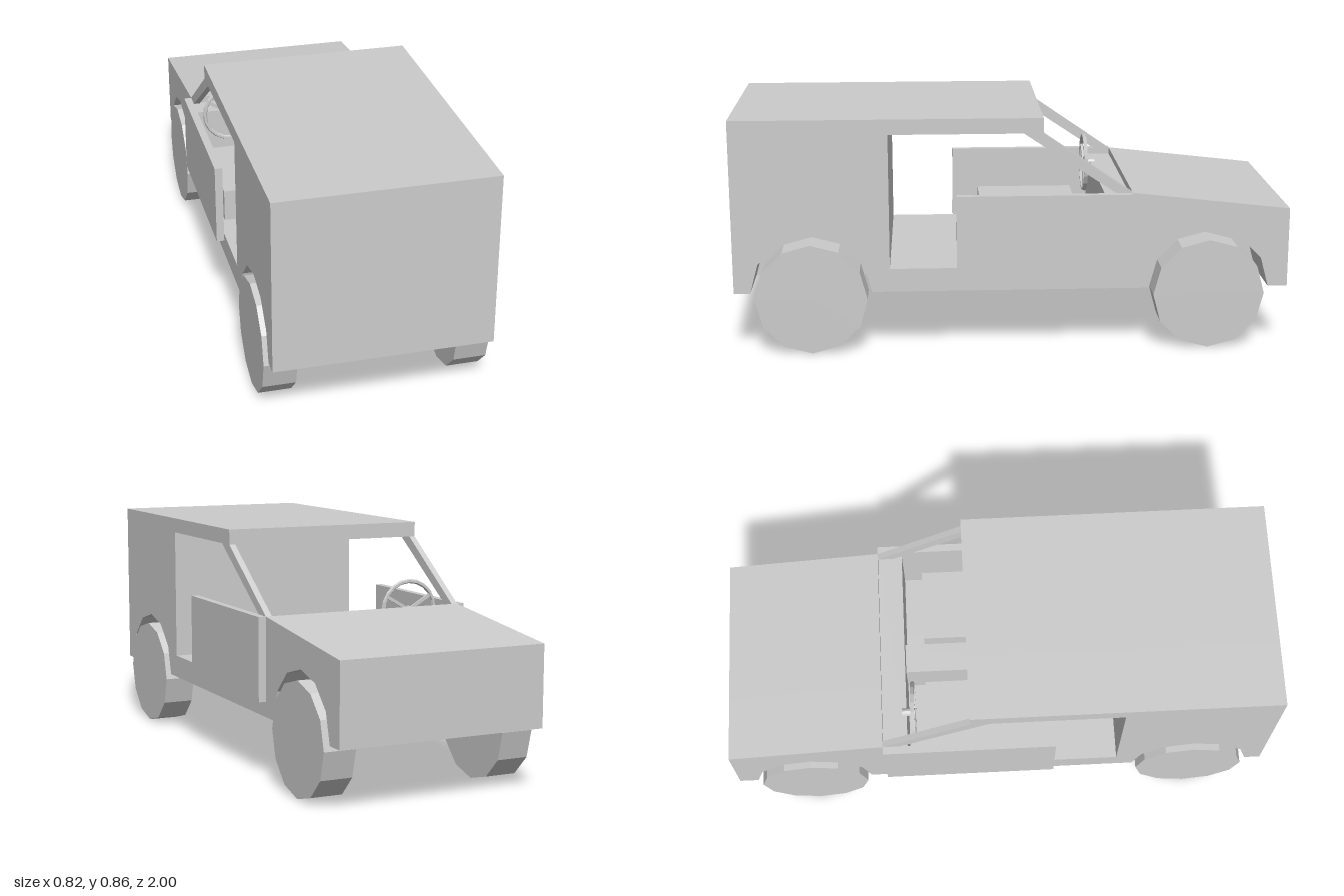
import * as THREE from 'three';

const material = new THREE.MeshStandardMaterial({ color: 0xcccccc, flatShading: true });
const HALF = 0.383;       // half width of the body
const ARCH_INNER = 0.15;  // inner wall of the wheel wells
const REAR_Z = 0.723, NOSE_Z = -0.712;
const BOTTOM = 0.225, FLOOR = 0.31, BELT = 0.58;

export function createModel() {
  const model = new THREE.Group();
  model.name = 'utilityVehicle';

  const add = (geometry, name, parent = model) => {
    const mesh = new THREE.Mesh(geometry, material);
    mesh.name = name;
    parent.add(mesh);
    return mesh;
  };
  const box = (name, x0, x1, y0, y1, z0, z1) => {
    const mesh = add(new THREE.BoxGeometry(x1 - x0, y1 - y0, z1 - z0), name);
    mesh.position.set((x0 + x1) / 2, (y0 + y1) / 2, (z0 + z1) / 2);
    return mesh;
  };
  // Side profile given as [z, y] points, extruded from x0 to x1
  const slab = (name, points, x0, x1) => {
    const shape = new THREE.Shape(points.map(([z, y]) => new THREE.Vector2(z, y)));
    const geometry = new THREE.ExtrudeGeometry(shape, { depth: x1 - x0, bevelEnabled: false });
    geometry.rotateY(-Math.PI / 2).translate(x1, 0, 0);
    return add(geometry, name);
  };
  // Half of a twelve-sided arch, running from -z to +z
  const arch = (z) => Array.from({ length: 7 }, (_, i) => {
    const a = Math.PI - (i * Math.PI) / 6;
    return [z + 0.218 * Math.cos(a), BOTTOM + 0.215 * Math.sin(a)];
  });

  // Body: nose, floor, closed cargo box and roof in one profile
  const upper = [
    [1, BOTTOM], [1, 0.855], [-0.11, 0.855], [-0.11, 0.8], [0.44, 0.8], [0.44, FLOOR],
    [-0.43, FLOOR], [-0.43, BELT], [-1, 0.515], [-1, BOTTOM],
  ];
  const sideProfile = [...upper, ...arch(NOSE_Z), ...arch(REAR_Z)];
  slab('bodyCentre', upper, -ARCH_INNER, ARCH_INNER);
  slab('bodySideLeft', sideProfile, ARCH_INNER, HALF);
  slab('bodySideRight', sideProfile, -HALF, -ARCH_INNER);

  // Windscreen pillars, half doors and seats on both sides
  const pillar = [[-0.04, 0.8], [-0.11, 0.8], [-0.43, BELT], [-0.37, BELT]];
  for (const [side, s] of [['Left', 1], ['Right', -1]]) {
    const span = (a, b) => (s > 0 ? [a, b] : [-b, -a]);
    slab('windscreenPillar' + side, pillar, ...span(0.36, HALF));
    box('door' + side, ...span(HALF, 0.411), 0.28, BELT, -0.43, 0.2);
    box('seat' + side, ...span(0.088, 0.36), FLOOR, 0.43, -0.27, 0.1);
  }

  // Dashboard and centre console
  box('dashboard', -HALF, HALF, FLOOR, 0.555, -0.43, -0.34);
  box('centreConsole', -0.058, 0.052, FLOOR, 0.465, -0.34, 0.1);

  // Steering wheel with three spokes and a short column
  const steering = new THREE.Group();
  steering.name = 'steeringWheel';
  steering.position.set(-0.245, 0.552, -0.315);
  model.add(steering);
  add(new THREE.TorusGeometry(0.106, 0.008, 6, 20), 'steeringRim', steering);
  for (let i = 0; i < 3; i++) {
    const a = -Math.PI / 2 + (i * Math.PI * 2) / 3;
    const spoke = add(new THREE.BoxGeometry(0.104, 0.012, 0.008), 'steeringSpoke', steering);
    spoke.position.set(0.052 * Math.cos(a), 0.052 * Math.sin(a), 0);
    spoke.rotation.z = a;
  }
  const column = add(new THREE.CylinderGeometry(0.014, 0.014, 0.05, 10), 'steeringColumn', steering);
  column.rotation.x = Math.PI / 2;
  column.position.z = -0.017;

  // Twelve-sided wheels with a small hub stub on the inner face
  for (const s of [1, -1]) {
    for (const z of [NOSE_Z, REAR_Z]) {
      const wheel = new THREE.Group();
      wheel.name = (z < 0 ? 'nose' : 'rear') + 'Wheel' + (s > 0 ? 'Left' : 'Right');
      wheel.position.set(0, 0.202, z);
      model.add(wheel);
      const tyre = add(new THREE.CylinderGeometry(0.202, 0.202, 0.117, 12), 'tyre', wheel);
      const hub = add(new THREE.CylinderGeometry(0.02, 0.02, 0.03, 12), 'hub', wheel);
      tyre.position.x = s * 0.338;
      hub.position.x = s * 0.272;
      tyre.rotation.z = hub.rotation.z = Math.PI / 2;
    }
  }
  return model;
}
